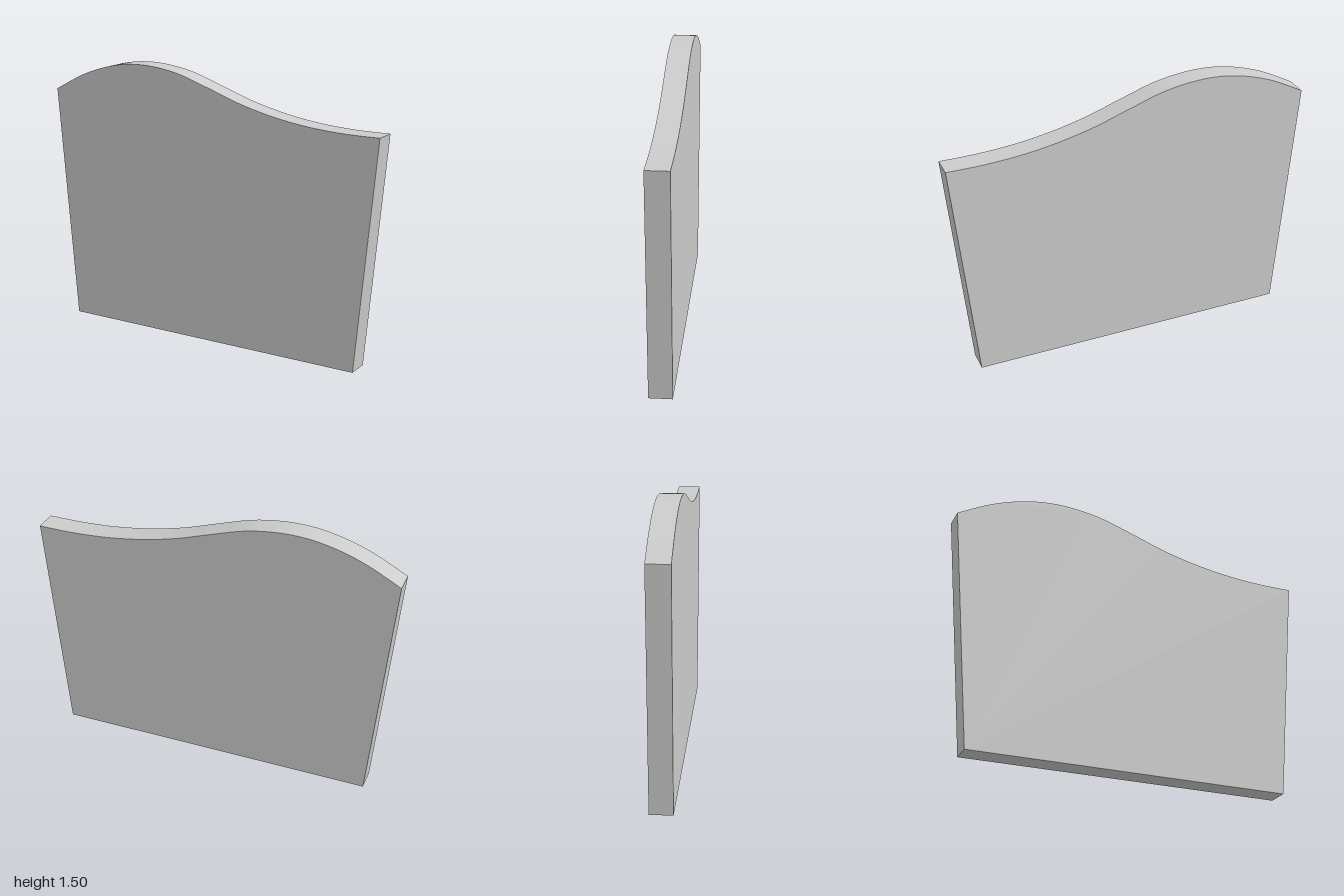
import * as THREE from 'three';
import { toCreasedNormals } from 'three/addons/utils/BufferGeometryUtils.js';

const DEPTH = 0.124;

export function createModel() {
  const group = new THREE.Group();
  group.name = 'wavyPanel';

  // Wavy top edge, from the right corner to the left corner
  const topEdge = [
    [0.8, 1.257], [0.6, 1.27], [0.4, 1.3], [0.2, 1.348], [0, 1.415], [-0.2, 1.476],
    [-0.41, 1.5], [-0.6, 1.482], [-0.8, 1.42], [-1, 1.318],
  ].map(([x, y]) => new THREE.Vector2(x, y));

  // Outline: narrow straight base, sides leaning outwards
  const outline = new THREE.Shape();
  outline.moveTo(-0.89, 0);
  outline.lineTo(0.89, 0);
  outline.lineTo(1, 1.257);
  outline.splineThru(topEdge);
  outline.closePath();

  const slab = new THREE.ExtrudeGeometry(outline, {
    depth: DEPTH, bevelEnabled: false, curveSegments: 6,
  });
  slab.translate(0, 0, -DEPTH / 2);

  // Smooth along the wave, sharp at the corners
  const panel = new THREE.Mesh(
    toCreasedNormals(slab, Math.PI / 6),
    new THREE.MeshStandardMaterial({ color: 0xcccccc }),
  );
  panel.name = 'panel';
  group.add(panel);
  return group;
}
